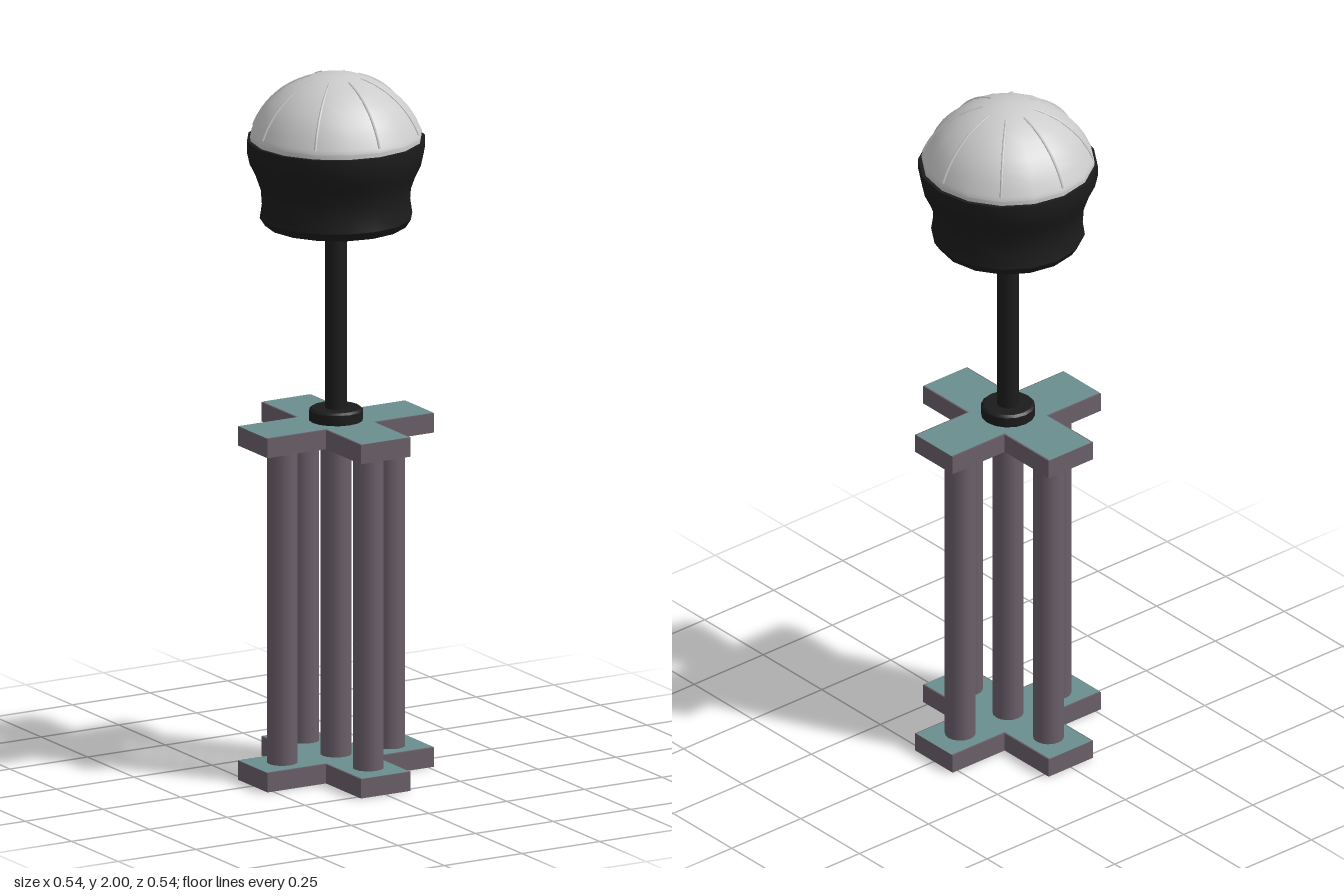
import * as THREE from 'three';
import { toCreasedNormals, mergeGeometries } from 'three/addons/utils/BufferGeometryUtils.js';

const mat = (color) => new THREE.MeshStandardMaterial({ color });

export function createModel() {
  const group = new THREE.Group();
  const frame = mat(0x6b5f69), teal = mat(0x6b8e8e), black = mat(0x1c1c1c), glass = mat(0xcccccc);

  const add = (name, geometry, material, x = 0, y = 0, z = 0) => {
    const mesh = new THREE.Mesh(geometry, material);
    mesh.name = name;
    mesh.position.set(x, y, z);
    group.add(mesh);
    return mesh;
  };
  const lathe = (points, sides) => toCreasedNormals(
    new THREE.LatheGeometry(points.map(([r, y]) => new THREE.Vector2(r, y)), sides), 0.6);

  // Plus-shaped outline: arm half-length a along x and z, half-width w
  const cross = (a, w, c = w) => new THREE.Shape([
    [a, -w], [a, w], [c, c], [w, a], [-w, a], [-c, c], [-a, w], [-a, -w],
    [-c, -c], [-w, -a], [w, -a], [c, -c],
  ].map(([x, y]) => new THREE.Vector2(x, y)));

  // Cross plates with a coloured top face
  const plate = new THREE.ExtrudeGeometry(cross(0.268, 0.08), { depth: 0.055, bevelEnabled: false });
  plate.rotateX(-Math.PI / 2);
  const inlay = new THREE.ShapeGeometry(cross(0.268, 0.076));
  inlay.rotateX(-Math.PI / 2);
  for (const [name, y] of [['bottom', 0], ['top', 0.955]]) {
    add(name + 'Plate', plate, frame, 0, y);
    add(name + 'PlateSurface', inlay, teal, 0, y + 0.056);
  }

  // Five columns: one in the middle and one on each arm
  const column = new THREE.CylinderGeometry(0.043, 0.043, 0.9, 16, 1, true);
  for (const [x, z] of [[0, 0], [0.173, 0], [-0.173, 0], [0, 0.173], [0, -0.173]])
    add('column', column, frame, x, 0.505, z);

  // Pole with its foot and upper collar
  add('poleFoot', lathe([[0.075, 1.01], [0.075, 1.04], [0.068, 1.046], [0, 1.046]], 16), black);
  add('pole', new THREE.CylinderGeometry(0.031, 0.031, 0.55, 12, 1, true), black, 0, 1.305);
  add('poleCollar', lathe([[0, 1.532], [0.035, 1.532], [0.08, 1.553], [0.08, 1.575]], 16), black);

  // Waisted lamp housing
  add('lampHousing', lathe([
    [0, 1.572], [0.198, 1.572], [0.213, 1.595], [0.207, 1.635], [0.21, 1.675], [0.224, 1.715],
    [0.241, 1.75], [0.249, 1.785], [0.249, 1.815], [0.236, 1.815], [0.234, 1.80],
  ], 16), black);

  // Dome: a shallow spherical cap above a short rim
  const domeY = (r) => 1.748 + Math.sqrt(0.252 ** 2 - r * r);
  const profile = [0.235, 0.222, 0.202, 0.18, 0.145, 0.108, 0.07, 0.035, 0].map((r) => [r, domeY(r)]);
  add('dome', lathe([[0.237, 1.80], [0.24, 1.828], ...profile], 16), glass);

  // Eight slim ribs running from the crown to the rim
  const ribPath = new THREE.CatmullRomCurve3(
    profile.slice(0, 7).map(([r, y]) => new THREE.Vector3(r, y - 0.001, 0)));
  const rib = new THREE.TubeGeometry(ribPath, 12, 0.004, 6);
  const ribs = [];
  for (let i = 0; i < 8; i++) ribs.push(rib.clone().rotateY(i * Math.PI / 4));
  add('domeRibs', mergeGeometries(ribs), glass);

  return group;
}
